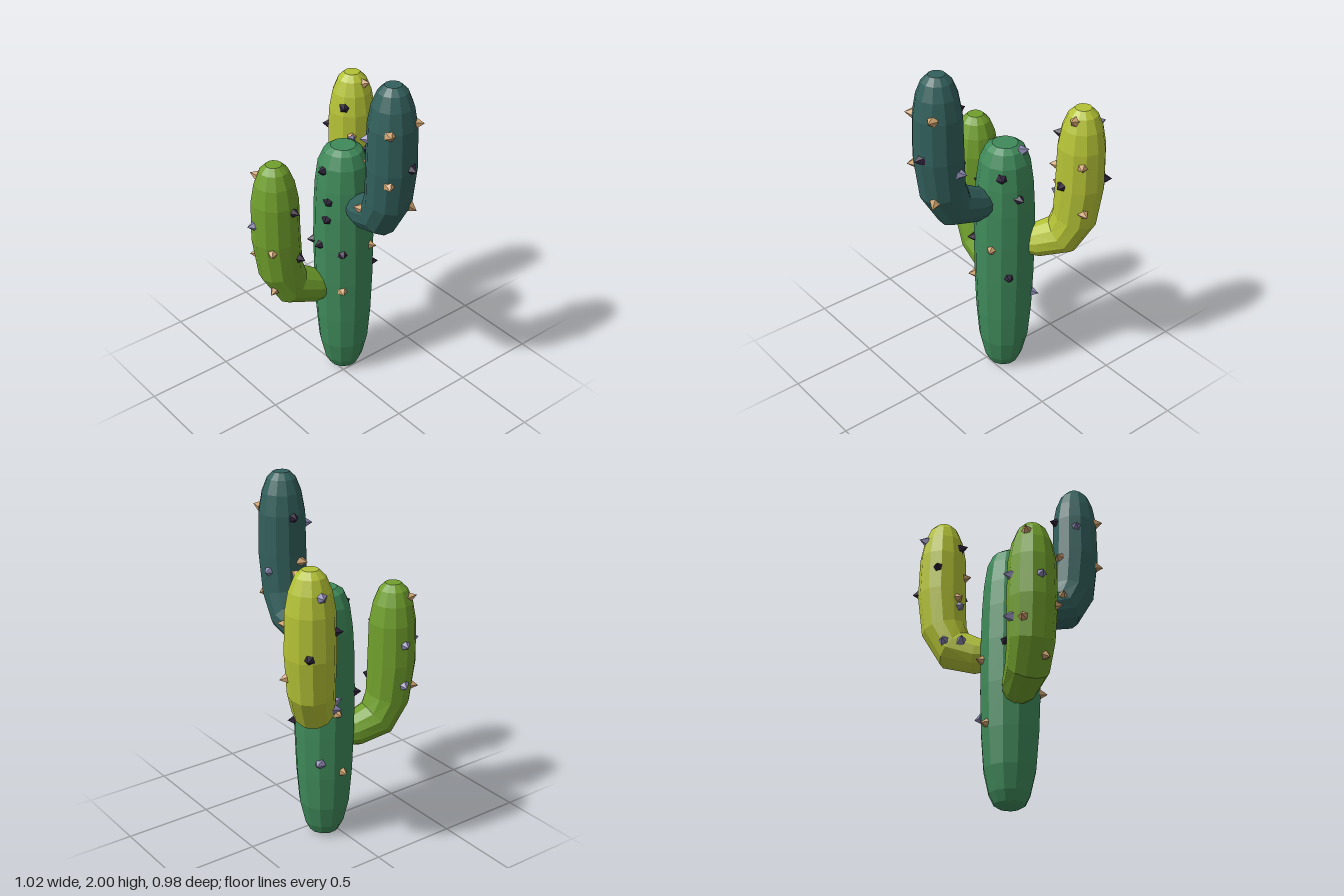
import * as THREE from 'three';

const SIDES = 12;
const mat = (name, color) => {
  const m = new THREE.MeshStandardMaterial({ color });
  m.name = name;
  return m;
};

// Faceted tube through rings [across, height, radius], bending in the xy plane, capped at both ends
function sweep(rings) {
  const pos = [], idx = [], n = rings.length;
  rings.forEach(([s, y, r], i) => {
    const a = rings[Math.max(i - 1, 0)], b = rings[Math.min(i + 1, n - 1)];
    const len = Math.hypot(b[0] - a[0], b[1] - a[1]);
    const ts = (b[0] - a[0]) / len, ty = (b[1] - a[1]) / len;
    for (let j = 0; j < SIDES; j++) {
      const t = (j + 0.5) / SIDES * Math.PI * 2, c = Math.cos(t) * r;
      pos.push(s + ty * c, y - ts * c, Math.sin(t) * r);
    }
  });
  const first = n * SIDES, last = first + 1, top = (n - 1) * SIDES;
  pos.push(rings[0][0], rings[0][1], 0, rings[n - 1][0], rings[n - 1][1], 0);
  for (let j = 0; j < SIDES; j++) {
    const k = (j + 1) % SIDES;
    for (let i = 0; i < n - 1; i++) {
      const a = i * SIDES + j, b = i * SIDES + k;
      idx.push(a, a + SIDES, b, b, a + SIDES, b + SIDES);
    }
    idx.push(first, j, k, last, top + k, top + j);
  }
  const indexed = new THREE.BufferGeometry();
  indexed.setAttribute('position', new THREE.Float32BufferAttribute(pos, 3));
  indexed.setIndex(idx);
  const g = indexed.toNonIndexed();
  g.computeVertexNormals();
  return g;
}

const TRUNK = { x: -0.075, z: -0.06 };
const TRUNK_RINGS = [
  [0, 0, 0.06], [0, 0.015, 0.085], [0, 0.07, 0.112], [0, 0.2, 0.142], [0, 0.4, 0.158], [0, 0.65, 0.167],
  [0, 0.9, 0.169], [0, 1.1, 0.165], [0, 1.25, 0.156], [0, 1.38, 0.138], [0, 1.45, 0.107], [0, 1.475, 0.07],
];
// Arm reaches out sideways, then turns upright; heights are for the tallest arm
const REACH = 0.42;
const ARM_RINGS = [
  [0.11, 1.155, 0.05], [0.135, 1.155, 0.08], [0.2, 1.16, 0.098], [0.335, 1.21, 0.118], [0.4, 1.335, 0.126],
  [REACH, 1.55, 0.135], [REACH, 1.78, 0.13], [REACH, 1.89, 0.11], [REACH, 1.965, 0.08], [REACH, 2, 0.045],
];

// Spikes: [degrees round the column (0 = front, 90 = +x), height, colour]
const D = 'dark', T = 'tan', L = 'lavender';
const TRUNK_SPIKES = [
  [20, 1.19, D], [18, 1.08, D], [50, 0.87, D], [0, 0.9, D], [-40, 0.87, D], [0, 1.36, D], [135, 1.33, D],
  [170, 1.2, D], [150, 0.7, D], [50, 0.62, T], [115, 0.88, T], [-85, 0.43, T], [-100, 0.8, T],
  [-135, 0.5, L], [-155, 1.45, L],
];
const ARMS = [
  {
    name: 'tallArm', color: 'teal', x: 0.345, z: -0.035, drop: 0,
    spikes: [[45, 1.78, T], [-30, 1.71, L], [-95, 1.77, D], [130, 1.8, T], [100, 1.57, D], [45, 1.49, T],
      [-75, 1.52, T], [130, 1.31, T], [-160, 1.47, L], [-60, 1.25, T]],
  },
  {
    name: 'backArm', color: 'yellowGreen', x: -0.355, z: -0.35, drop: 0.29,
    spikes: [[105, 1.66, T], [31, 1.54, D], [-95, 1.59, L], [-40, 1.385, D], [140, 1.42, T], [50, 1.37, T],
      [90, 1.28, D], [-128, 1.28, D], [150, 1.13, T], [15, 1.21, T], [20, 1.16, L], [-20, 0.935, L],
      [10, 0.93, L]],
  },
  {
    name: 'frontArm', color: 'leafGreen', x: -0.18, z: 0.325, drop: 0.555,
    spikes: [[-50, 1.37, T], [-10, 1.1, L], [45, 0.96, T], [105, 1.19, D], [120, 0.88, D], [-55, 0.86, T],
      [40, 0.68, T], [-95, 1.12, L], [-95, 0.88, L]],
  },
];

export function createModel() {
  const model = new THREE.Group();
  model.name = 'cactus';
  const mats = {
    trunkGreen: mat('trunkGreen', 0x3f8a5a),
    teal: mat('teal', 0x32605c),
    yellowGreen: mat('yellowGreen', 0xb4c236),
    leafGreen: mat('leafGreen', 0x709f2c),
    dark: mat('dark', 0x2e2139),
    tan: mat('tan', 0xcda26f),
    lavender: mat('lavender', 0x8b86b0),
  };
  const spikeGeo = new THREE.ConeGeometry(0.034, 0.05, 5).toNonIndexed();
  spikeGeo.computeVertexNormals();
  spikeGeo.translate(0, 0.014, 0);

  // One column with its spikes set on the surface
  const ray = new THREE.Raycaster(), up = new THREE.Vector3(0, 1, 0);
  function addColumn(name, geo, color, x, z, spikes) {
    const part = new THREE.Group();
    part.name = name;
    const body = new THREE.Mesh(geo, mats[color]);
    body.name = name + 'Body';
    part.add(body);
    spikes.forEach(([deg, y, tint]) => {
      const a = THREE.MathUtils.degToRad(deg);
      const dir = new THREE.Vector3(Math.sin(a), 0, Math.cos(a));
      ray.set(new THREE.Vector3(x, y, z).add(dir), dir.clone().negate());
      const hit = ray.intersectObject(body)[0];
      if (!hit) return;
      const spike = new THREE.Mesh(spikeGeo, mats[tint]);
      spike.name = 'spike';
      spike.position.copy(hit.point);
      spike.quaternion.setFromUnitVectors(up, hit.face.normal);
      part.add(spike);
    });
    model.add(part);
  }

  // Trunk
  const trunk = sweep(TRUNK_RINGS).translate(TRUNK.x, 0, TRUNK.z);
  addColumn('trunk', trunk, 'trunkGreen', TRUNK.x, TRUNK.z, TRUNK_SPIKES);

  // Arms: the same bent shape, turned to point away from the trunk
  for (const { name, color, x, z, drop, spikes } of ARMS) {
    const geo = sweep(ARM_RINGS).translate(-REACH, -drop, 0);
    geo.rotateY(-Math.atan2(z - TRUNK.z, x - TRUNK.x)).translate(x, 0, z);
    addColumn(name, geo, color, x, z, spikes);
  }
  return model;
}
